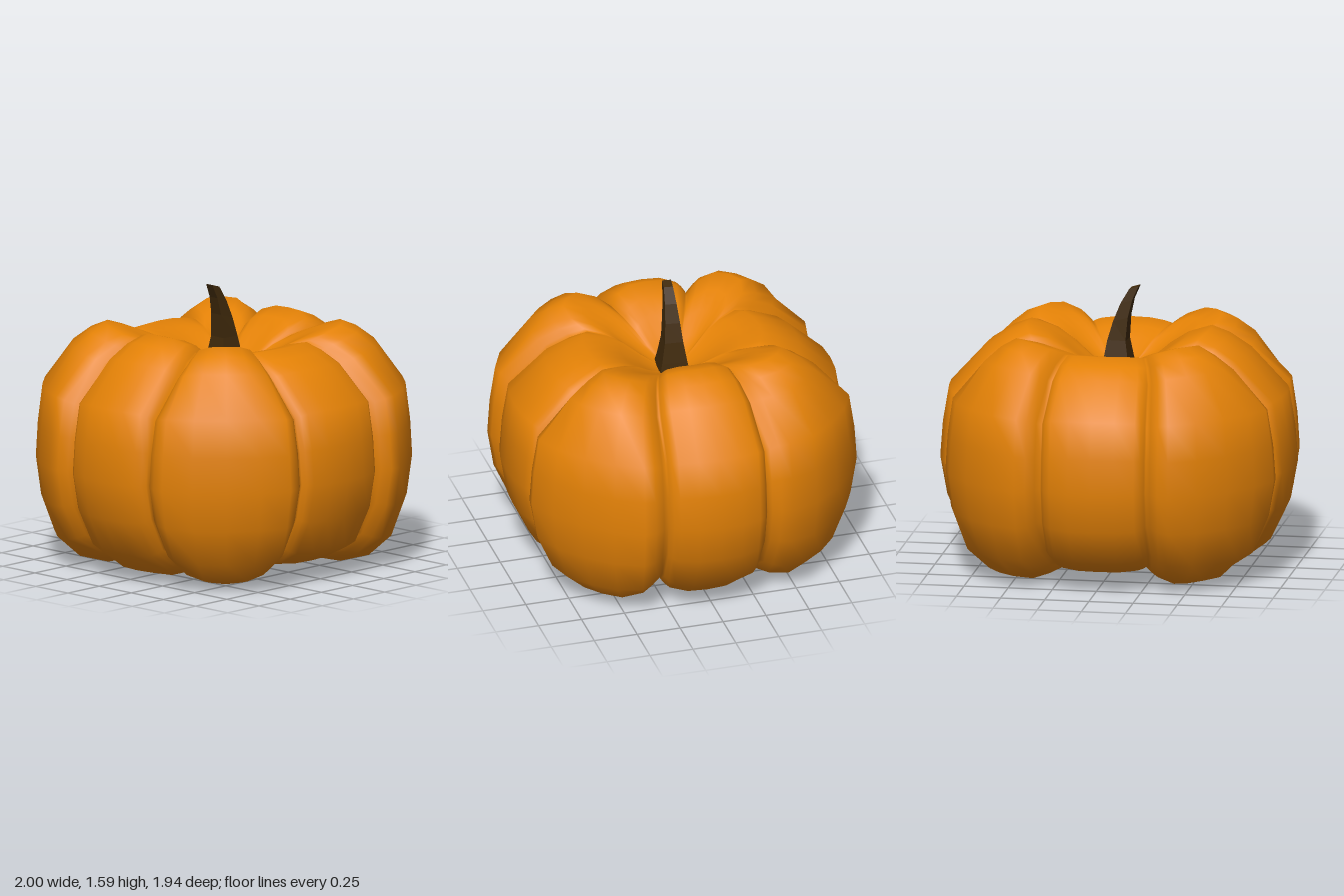
import * as THREE from 'three';

const orange = new THREE.MeshStandardMaterial({ color: 0xe38106 });
orange.name = 'pumpkin orange';
const brown = new THREE.MeshStandardMaterial({ color: 0x402a0b });
brown.name = 'stem brown';

// Joins equal-length rings of points, running from top to bottom, into a closed skin.
function skin(rings) {
  const n = rings[0].length;
  const index = [];
  for (let i = 0; i < rings.length - 1; i++) {
    for (let j = 0; j < n; j++) {
      const k = (j + 1) % n;
      const a = i * n + j, b = i * n + k, c = a + n, d = b + n;
      index.push(a, b, c, b, d, c);
    }
  }
  const geo = new THREE.BufferGeometry();
  geo.setAttribute('position', new THREE.Float32BufferAttribute(rings.flat(2), 3));
  geo.setIndex(index);
  return geo;
}

// Rib profile (radius, height), from the dip under the stem to the underside.
const PROFILE = [
  [0.001, 1.09], [0.1, 1.11], [0.2, 1.175], [0.3, 1.26], [0.4, 1.325], [0.52, 1.36],
  [0.62, 1.32], [0.74, 1.24], [0.95, 1.01], [0.985, 0.8], [1.0, 0.6], [0.96, 0.38],
  [0.86, 0.17], [0.7, 0.05], [0.52, 0.005], [0.4, 0.02], [0.25, 0.08], [0.12, 0.12], [0.001, 0.135],
];
const ACROSS = [-1, -0.96, -0.88, -0.76, -0.4, 0, 0.4, 0.76, 0.88, 0.96];
const MID = 0.66;
const { lerp, smoothstep } = THREE.MathUtils;

// Eight ribs: narrow ones on the axes, wide and fuller ones on the diagonals.
function bodyGeometry() {
  const rings = PROFILE.map(([r, y]) => {
    const groove = 0.56 - 0.24 * Math.pow(r, 1.4);
    const blend = smoothstep(r, 0, 0.5);
    const ring = [];
    for (let lobe = 0; lobe < 8; lobe++) {
      const wide = lobe % 2 === 1;
      const half = wide ? Math.PI / 4 - groove : groove;
      const ribR = wide ? lerp(1, 1.05 * Math.pow(r, -0.3), blend) : 1;
      // front and back ribs are lower on top and higher underneath
      const ribY = lobe % 4 === 2 ? lerp(0.9, 1, smoothstep(r, 0.6, 0.95)) : 1;
      const edge = Math.pow(r, 4); // grooves are tight at the sides, soft on top
      const power = wide ? lerp(2.5, 10, edge) : lerp(4, 7, edge);
      for (const u of ACROSS) {
        const angle = lobe * Math.PI / 4 + u * half;
        const sink = Math.pow(Math.abs(u), power);
        const rr = r * lerp(ribR, 0.945, sink);
        const sy = lerp(1, lerp(ribY, 0.875, sink), blend);
        const depth = lerp(wide ? 1 : 0.97, 0.97, sink);
        // the back rib on the left side is slightly dented
        const dent = lobe === 7 && u > 0 ? 1 - 0.1 * u ** 3 * (1 - sink) : 1;
        ring.push([rr * Math.cos(angle) * dent, MID + (y - MID) * sy, rr * Math.sin(angle) * depth]);
      }
    }
    return ring;
  });
  const geo = skin(rings);
  geo.computeVertexNormals();
  return geo;
}

// Square, tapering stem that bends to the right; each row is x, y, half width.
function stemGeometry() {
  const rows = [
    [-0.09, 1.582, 0.001], [-0.09, 1.582, 0.026], [-0.048, 1.5, 0.033], [-0.017, 1.4, 0.042],
    [0.003, 1.28, 0.052], [0.003, 1.16, 0.072], [-0.003, 1.05, 0.094],
  ];
  const rings = rows.map(([x, y, h], i) => {
    const tilt = i < 4 ? 0.3 : 0;
    return [[1, -1], [1, 1], [-1, 1], [-1, -1]].map(([sx, sz]) => {
      const dx = h * (sx - 0.08 * sz), dz = h * (sz + 0.08 * sx);
      return [x + dx, y - dx * tilt, dz];
    });
  });
  const geo = skin(rings).toNonIndexed();
  geo.computeVertexNormals();
  return geo;
}

export function createModel() {
  const model = new THREE.Group();
  model.name = 'pumpkin';
  const body = new THREE.Mesh(bodyGeometry(), orange);
  body.name = 'ribbedBody';
  const stem = new THREE.Mesh(stemGeometry(), brown);
  stem.name = 'stem';
  model.add(body, stem);
  return model;
}
